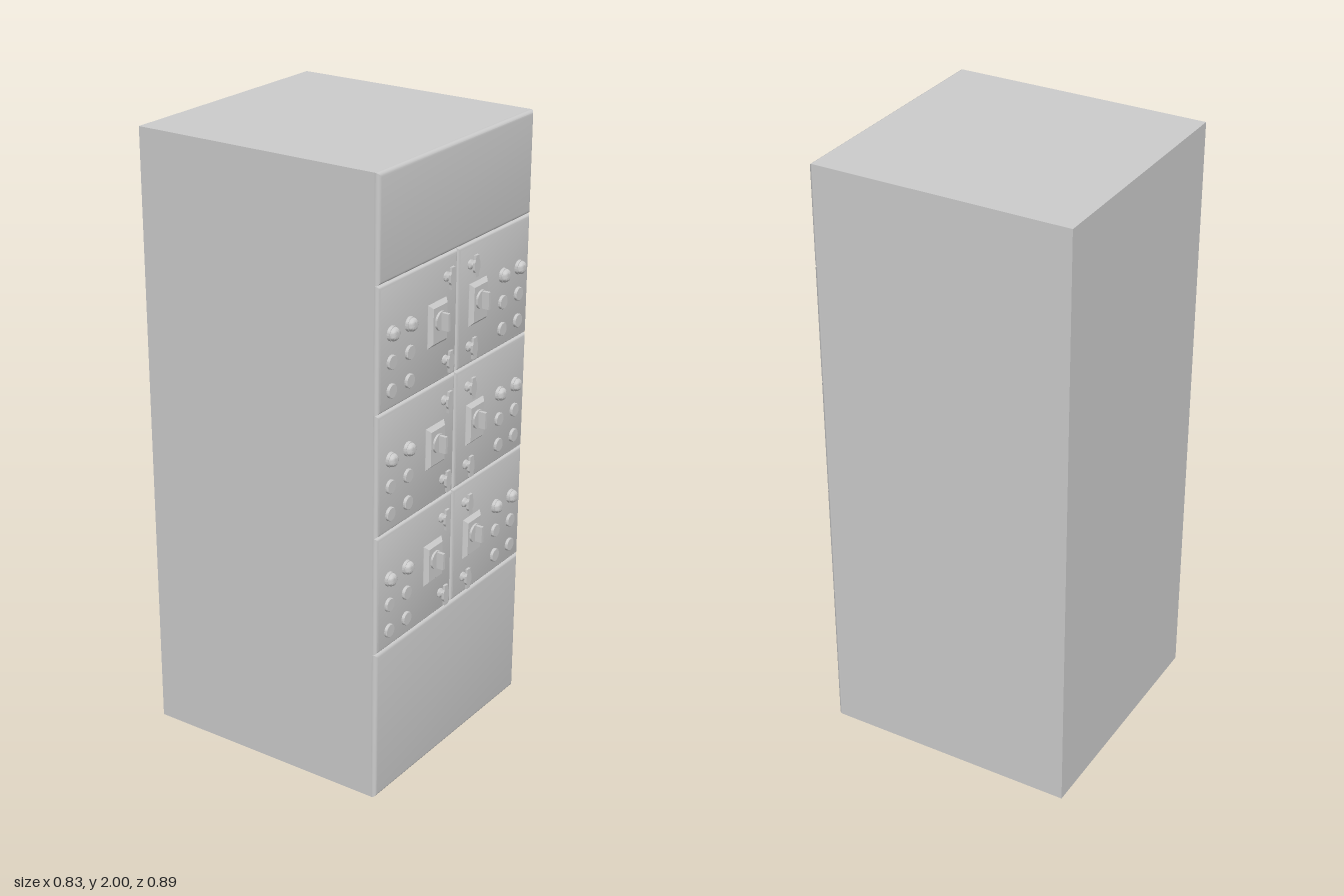
import * as THREE from 'three';
import { toCreasedNormals } from 'three/addons/utils/BufferGeometryUtils.js';

const FRONT = 0.4, HALF = 0.415, BACK = -0.45, R = 0.013;
const grey = new THREE.MeshStandardMaterial({ color: 0xcccccc });

function add(parent, name, geometry, x = 0, y = 0, z = 0) {
  const mesh = new THREE.Mesh(geometry, grey);
  mesh.name = name;
  mesh.position.set(x, y, z);
  parent.add(mesh);
  return mesh;
}

const polygon = pts => new THREE.Shape(pts.map(p => new THREE.Vector2(...p)));

// Slab with rounded front edges; its front face lies at z = 0
function panelGeometry(w, h, r = R, segments = 4) {
  const a = w / 2 - r, b = h / 2 - r, d = 0.002;
  const geo = new THREE.ExtrudeGeometry(polygon([[-a, -b], [a, -b], [a, b], [-a, b]]), {
    depth: d, bevelThickness: r, bevelSize: r, bevelSegments: segments,
  });
  geo.translate(0, 0, -d - r);
  return toCreasedNormals(geo, 0.6);
}

// Turned part standing on the door, axis along +z; profile is [radius, z]
function turned(profile, sides = 20) {
  const geo = new THREE.LatheGeometry(profile.map(p => new THREE.Vector2(...p)), sides);
  geo.rotateX(Math.PI / 2);
  return toCreasedNormals(geo, 0.6);
}

const domeProfile = [[0.023, -0.002], [0.023, 0.01], [0.021, 0.01]];
for (let i = 1; i <= 6; i++) {
  const t = (i / 6) * Math.PI / 2;
  domeProfile.push([0.021 * Math.cos(t), 0.01 + 0.016 * Math.sin(t)]);
}
const lampGeo = turned(domeProfile);
const buttonGeo = turned([[0.022, -0.002], [0.022, 0.007], [0.02, 0.009], [0, 0.009]]);
const neckGeo = turned([[0.015, -0.002], [0.015, 0.005], [0.008, 0.01], [0.008, 0.019]], 16);
const dialGeo = turned([[0.03, 0], [0.03, 0.008], [0, 0.008]], 24);
const plateGeo = panelGeometry(0.098, 0.135, 0.012, 1);
const bladeGeo = new THREE.BoxGeometry(0.011, 0.054, 0.026);

// Elongated handle, wide in the middle and narrow at the ends
const handleGeo = new THREE.ExtrudeGeometry(polygon([
  [-0.009, -0.034], [0.009, -0.034], [0.01, -0.02], [0.015, -0.011], [0.015, 0.011],
  [0.01, 0.02], [0.009, 0.034], [-0.009, 0.034], [-0.01, 0.02], [-0.015, 0.011],
  [-0.015, -0.011], [-0.01, -0.02],
]), { depth: 0.008, bevelEnabled: false });

// One door with its fittings, built around the door's centre height
function makeDoor(side, height) {
  const door = new THREE.Group();
  door.name = side > 0 ? 'leftDoor' : 'rightDoor';
  add(door, 'doorPanel', panelGeometry(HALF, height), side * HALF / 2);

  // Latches near the middle seam
  for (const y of [0.128, -0.132]) {
    add(door, 'latchNeck', neckGeo, side * 0.066, y);
    add(door, 'latchHandle', handleGeo, side * 0.066, y, 0.018);
  }

  // Rotary switch
  const x = side * 0.112;
  add(door, 'switchPlate', plateGeo, x, -0.002, 0.013);
  add(door, 'switchDial', dialGeo, x, 0.008, 0.012);
  add(door, 'switchBlade', bladeGeo, x, 0.008, 0.031);

  // Domed lamps above two rows of buttons
  for (const lx of [0.257, 0.35]) {
    add(door, 'lamp', lampGeo, side * lx, 0.04);
    for (const y of [-0.047, -0.135]) add(door, 'button', buttonGeo, side * lx, y);
  }
  return door;
}

export function createModel() {
  const model = new THREE.Group();
  model.name = 'controlCabinet';

  // Cabinet body behind the front panels
  const depth = FRONT - R - 0.002 - BACK;
  add(model, 'cabinetBody', new THREE.BoxGeometry(HALF * 2, 2, depth), 0, 1, BACK + depth / 2);

  // Plain panels below and above the doors
  const bottom = 0.505, top = 1.675, rows = 3, rowHeight = (top - bottom) / rows;
  add(model, 'lowerPanel', panelGeometry(HALF * 2, bottom), 0, bottom / 2, FRONT);
  add(model, 'upperPanel', panelGeometry(HALF * 2, 2 - top), 0, (top + 2) / 2, FRONT);

  // Three rows of paired doors
  for (let i = 0; i < rows; i++) {
    for (const side of [-1, 1]) {
      const door = makeDoor(side, rowHeight);
      door.position.set(0, bottom + (i + 0.5) * rowHeight, FRONT);
      model.add(door);
    }
  }
  return model;
}
